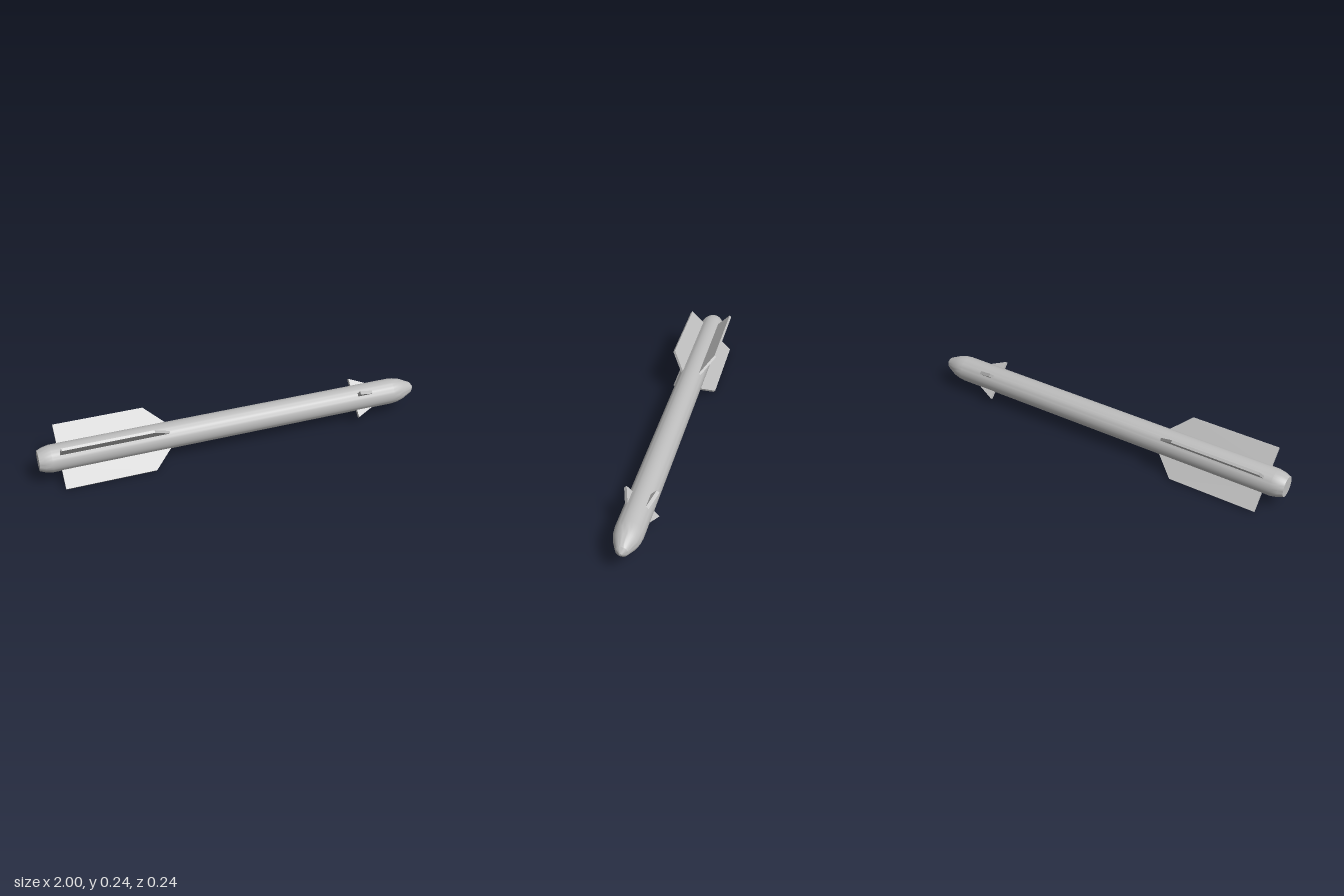
import * as THREE from 'three';
import { toCreasedNormals } from 'three/addons/utils/BufferGeometryUtils.js';

export function createModel() {
  const model = new THREE.Group();
  model.name = 'missile';
  const grey = new THREE.MeshStandardMaterial({ color: 0xbdbdbd });
  grey.name = 'light grey';

  // Body of revolution: [x, radius] from the blunt tail to the nose tip
  const profile = [
    [-1, 0], [-1, 0.05], [-0.975, 0.06], [-0.94, 0.067], [0.86, 0.067], [0.89, 0.064],
    [0.925, 0.055], [0.97, 0.034], [0.982, 0.028], [0.995, 0.012], [1, 0.005], [1, 0],
  ].map(([x, r]) => new THREE.Vector2(r, x));
  const bodyGeometry = new THREE.LatheGeometry(profile, 40);
  bodyGeometry.rotateZ(-Math.PI / 2);
  const body = new THREE.Mesh(toCreasedNormals(bodyGeometry, 0.35), grey);
  body.name = 'body';
  body.position.set(0, 0.12, 0.001);
  model.add(body);

  // Flat fins in an X layout: outline is [x, distance from the axis]
  function addFins(name, outline, thickness) {
    const shape = new THREE.Shape(outline.map(([x, r]) => new THREE.Vector2(x, r)));
    const geometry = new THREE.ExtrudeGeometry(shape, { depth: thickness, bevelEnabled: false });
    geometry.translate(0, 0, -thickness / 2);
    for (let i = 0; i < 4; i++) {
      const fin = new THREE.Mesh(geometry, grey);
      fin.name = name + (i + 1);
      fin.position.y = 0.118;
      fin.rotation.x = Math.PI / 4 + (i * Math.PI) / 2;
      model.add(fin);
    }
  }
  addFins('tailFin', [[-0.9, 0.05], [-0.345, 0.05], [-0.455, 0.16], [-0.9, 0.16]], 0.013);
  addFins('canard', [[0.652, 0.05], [0.755, 0.05], [0.738, 0.067], [0.652, 0.106]], 0.017);

  return model;
}
